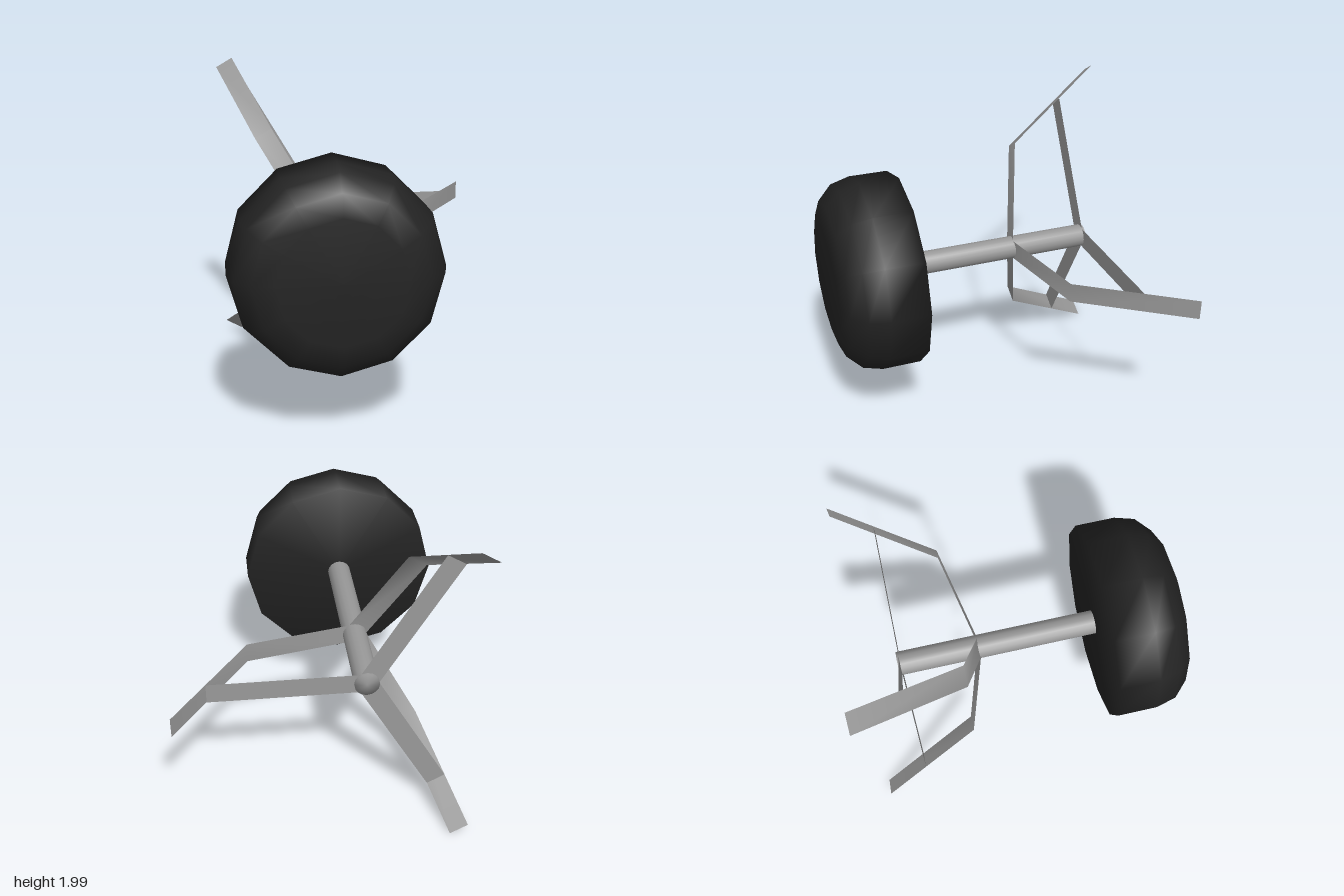
import * as THREE from 'three';

const grey = new THREE.MeshStandardMaterial({ color: 0x999999, side: THREE.DoubleSide });
grey.name = 'metal grey';
const black = new THREE.MeshStandardMaterial({ color: 0x222222 });
black.name = 'rubber black';

// solid of revolution about the z axis from [radius, z] pairs, back to front
function turned(name, profile, sides, material) {
  const geo = new THREE.LatheGeometry(profile.map(([r, z]) => new THREE.Vector2(r, z)), sides);
  geo.rotateX(Math.PI / 2);
  const mesh = new THREE.Mesh(geo, material);
  mesh.name = name;
  return mesh;
}

// thin flat strip running outward (+x) through [radius, z] pairs
function strip(name, path, width) {
  const pos = [], index = [];
  path.forEach(([r, z], i) => {
    pos.push(r, -width / 2, z, r, width / 2, z);
    if (i > 0) {
      const a = 2 * i - 2;
      index.push(a, a + 2, a + 3, a, a + 3, a + 1);
    }
  });
  const geo = new THREE.BufferGeometry();
  geo.setAttribute('position', new THREE.Float32BufferAttribute(pos, 3));
  geo.setIndex(index);
  geo.computeVertexNormals();
  const mesh = new THREE.Mesh(geo, grey);
  mesh.name = name;
  return mesh;
}

export function createModel() {
  const model = new THREE.Group();
  model.name = 'padded rod with three legs';

  // twelve-sided pad with a rounded front rim
  const R = 0.617, bevel = 0.25;
  const pad = [[0, 0.505], [R, 0.505]];
  for (let i = 0; i <= 3; i++) {
    const a = (i * Math.PI) / 6;
    pad.push([R - bevel + bevel * Math.cos(a), 0.75 + bevel * Math.sin(a)]);
  }
  pad.push([0, 1]);
  model.add(turned('pad', pad, 12, black));

  // central rod
  model.add(turned('rod', [[0, -0.74], [0.074, -0.74], [0.074, 0.52], [0, 0.52]], 16, grey));

  // three bent legs, each with a brace back to the rod end
  for (let i = 0; i < 3; i++) {
    const arm = new THREE.Group();
    arm.name = 'legAssembly' + (i + 1);
    arm.add(strip('leg', [[0.035, -0.23], [0.667, -0.36], [1.115, -1]], 0.124));
    arm.add(strip('brace', [[0.035, -0.725], [0.92, -0.725]], 0.124));
    arm.rotation.z = (i * Math.PI * 2) / 3;
    model.add(arm);
  }

  // place the shared axis
  model.children.forEach((part) => part.position.set(-0.249, 0.997, 0));
  return model;
}
